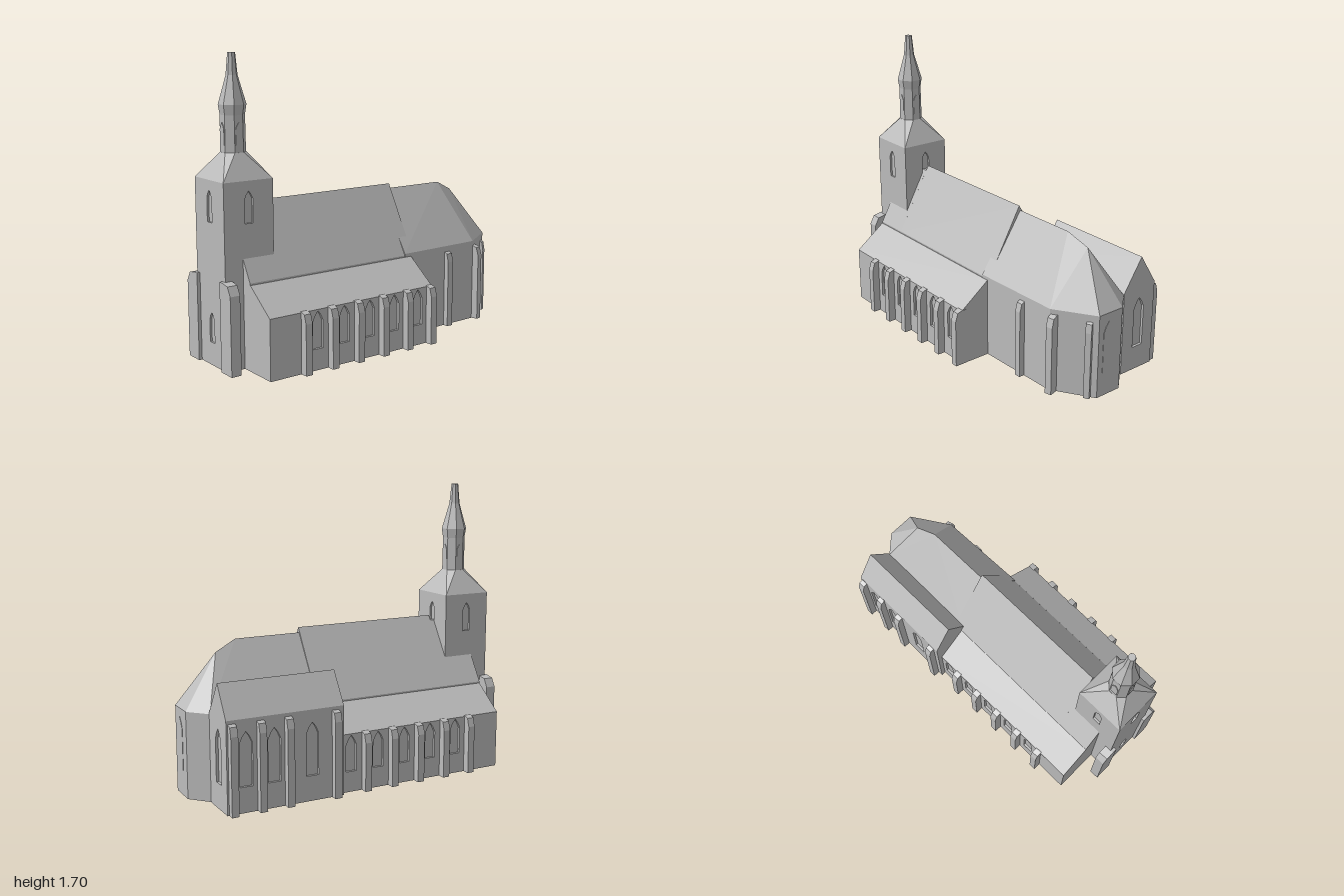
import * as THREE from 'three';
import { ConvexGeometry } from 'three/addons/geometries/ConvexGeometry.js';

const stone = new THREE.MeshStandardMaterial({ color: 0xbcbcbc });
stone.name = 'grey stone';

const shapeOf = (pts) => new THREE.Shape(pts.map(([x, y]) => new THREE.Vector2(x, y)));
const extrude = (shape, depth) => new THREE.ExtrudeGeometry(shape, { depth, bevelEnabled: false });
const V = (x, y, z) => new THREE.Vector3(x, y, z);

function add(parent, name, geometry, x = 0, y = 0, z = 0, turn = 0) {
  const mesh = new THREE.Mesh(geometry, stone);
  mesh.name = name;
  mesh.position.set(x, y, z);
  mesh.rotation.y = turn;
  parent.add(mesh);
  return mesh;
}

// Prism running along x from a (z, y) cross-section
function prism(profile, x0, x1) {
  return extrude(shapeOf(profile.map(([z, y]) => [-z, y])), x1 - x0)
    .rotateY(Math.PI / 2).translate(x0, 0, 0);
}

// Pointed-arch outline
const lancet = (x, y0, y1, w) => [
  [x - w / 2, y0], [x + w / 2, y0], [x + w / 2, y1 - w * 0.85],
  [x + w * 0.27, y1 - w * 0.35], [x, y1], [x - w * 0.27, y1 - w * 0.35], [x - w / 2, y1 - w * 0.85],
];

// Wall skin with window openings; the solid body behind closes each niche
function wall(outline, windows, depth) {
  const shape = shapeOf(outline);
  for (const w of windows) shape.holes.push(new THREE.Path(shapeOf(lancet(...w)).getPoints()));
  return extrude(shape, depth);
}
const rect = (x0, x1, h) => [[x0, 0], [x1, 0], [x1, h], [x0, h]];

// Buttress with a sloped cap, facing +z before turning
function buttress(w, d, h) {
  const s = shapeOf([[-0.03, 0], [d, 0], [d, h - 0.06], [d * 0.65, h - 0.01], [0, h], [-0.03, h]]);
  return extrude(s, w).translate(0, 0, -w / 2).rotateY(-Math.PI / 2);
}

function buildTower() {
  const g = new THREE.Group();
  g.name = 'tower';
  const cx = -0.828, cz = 0.022, half = 0.153, t = 0.012, top = 1.03;
  g.position.set(cx, 0, cz);
  add(g, 'towerCore', new THREE.BoxGeometry(2 * (half - t), top, 2 * (half - t)), 0, top / 2, 0);
  for (let i = 0; i < 4; i++) {
    const a = i * Math.PI / 2;
    const windows = [[0, 0.8, 0.975, 0.05]];
    if (i === 3) windows.push([0, 0.13, 0.3, 0.05]);
    add(g, 'towerWall', wall(rect(-half, half, top), windows, t),
      Math.sin(a) * (half - t), 0, Math.cos(a) * (half - t), a);
    // Lantern windows
    add(g, 'lanternWindow', extrude(shapeOf(lancet(0, 1.21, 1.33, 0.042)), 0.004),
      Math.sin(a) * 0.063, 0, Math.cos(a) * 0.063, a);
  }

  // Roof blending from the square tower to the octagonal lantern
  const pts = [];
  for (const x of [-half, half]) for (const z of [-half, half]) pts.push(V(x, top, z));
  for (let i = 0; i < 8; i++) {
    const a = (i + 0.5) * Math.PI / 4;
    pts.push(V(0.071 * Math.sin(a), 1.17, 0.071 * Math.cos(a)));
  }
  add(g, 'towerRoof', new ConvexGeometry(pts));

  // Lantern and spire
  const profile = [[0.07, 1.16], [0.068, 1.37], [0.077, 1.425], [0.052, 1.51], [0.032, 1.58], [0.021, 1.7], [0, 1.7]]
    .map(([r, y]) => new THREE.Vector2(r, y));
  const spire = new THREE.LatheGeometry(profile, 8, Math.PI / 8).toNonIndexed();
  spire.computeVertexNormals();
  add(g, 'spire', spire);

  // Corner buttresses beside the west face
  add(g, 'towerButtress', buttress(0.06, 0.08, 0.5), -0.97 - cx, 0, half);
  add(g, 'towerButtress', buttress(0.06, 0.08, 0.5), -0.97 - cx, 0, -half, Math.PI);
  return g;
}

function buildNave() {
  const g = new THREE.Group();
  g.name = 'nave';
  const low = [[0.242, 0], [0.242, 0.49]], far = [[-0.228, 0.49], [-0.228, 0]];
  add(g, 'naveBody', prism([...low, [0.02, 0.89], ...far], -0.65, 0.258));
  add(g, 'naveWestEnd', prism([...low, [0.037, 0.86], [0.002, 0.86], ...far], -0.87, -0.65));
  return g;
}

// Lean-to aisle; side is +1 for the front, -1 for the back
function buildAisle(side, x1, face, inner, xs) {
  const g = new THREE.Group();
  g.name = side > 0 ? 'frontAisle' : 'backAisle';
  const x0 = -0.87, h = 0.34, t = 0.015;
  const turn = side > 0 ? 0 : Math.PI;
  const body = [[inner - 0.05, 0], [inner - 0.05, 0.48], [inner, 0.48], [face, h], [face - t, h], [face - t, 0]];
  add(g, 'aisleBody', prism(body.map(([z, y]) => [z * side, y]), x0, x1));
  const windows = [-0.565, -0.387, -0.21, -0.034, 0.142].map((x) => [x * side, 0.12, 0.332, 0.066]);
  const [a, b] = side > 0 ? [x0, x1] : [-x1, -x0];
  add(g, 'aisleWall', wall(rect(a, b, h), windows, t), 0, 0, side * (face - t), turn);
  for (const x of xs) add(g, 'aisleButtress', buttress(0.042, 0.045, 0.345), x, 0, side * face, turn);
  return g;
}

function buildChoir() {
  const g = new THREE.Group();
  g.name = 'choir';
  // Walls of the polygonal apse with a hipped roof
  const plan = [[0.2, 0.245], [0.77, 0.228], [1, 0.08], [1, -0.09], [0.9, -0.2], [0.2, -0.22]];
  const pts = plan.flatMap(([x, z]) => [V(x, 0, z), V(x, 0.5, z)]);
  pts.push(V(0.2, 0.86, 0.012), V(0.66, 0.86, 0.01), V(0.79, 0.8, -0.018));
  add(g, 'choirBody', new ConvexGeometry(pts));
  add(g, 'apseWindow', extrude(shapeOf(lancet(0, 0.145, 0.45, 0.075)), 0.004), 0.998, 0, 0.008, Math.PI / 2);
  add(g, 'choirButtress', buttress(0.04, 0.035, 0.465), 0.547, 0, 0.233);
  add(g, 'choirButtress', buttress(0.04, 0.04, 0.47), 0.792, 0, 0.222, 0.25);
  add(g, 'choirButtress', buttress(0.035, 0.025, 0.46), 0.955, 0, 0.106, 0.5);
  return g;
}

function buildChapel() {
  const g = new THREE.Group();
  g.name = 'chapel';
  const t = 0.015, x0 = 0.205, x1 = 0.89, face = -0.44, eave = 0.52;
  const gable = [[-0.2, 0], [-0.2, 0.51], [-0.325, 0.7], [face, eave]];
  add(g, 'chapelBody', prism([...gable, [face + t, eave], [face + t, 0]], x0, x1));
  // Long wall with three windows
  const windows = [0.4, 0.628, 0.793].map((x) => [-x, 0.145, 0.45, 0.075]);
  add(g, 'chapelWall', wall(rect(-x1, -x0, eave), windows, t), 0, 0, face + t, Math.PI);
  // East gable
  const outline = [...gable, [face, 0]].map(([z, y]) => [-z, y]);
  add(g, 'chapelGable', wall(outline, [[0.323, 0.145, 0.45, 0.075]], t), x1, 0, 0, Math.PI / 2);
  for (const x of [0.257, 0.546, 0.709, 0.874]) {
    add(g, 'chapelButtress', buttress(0.042, 0.04, 0.5), x, 0, face, Math.PI);
  }
  return g;
}

export function createModel() {
  const church = new THREE.Group();
  church.name = 'church';
  const xs = [-0.653, -0.477, -0.3, -0.124, 0.052];
  church.add(
    buildTower(),
    buildNave(),
    buildAisle(1, 0.247, 0.432, 0.245, [...xs, 0.228]),
    buildAisle(-1, 0.21, 0.412, 0.228, xs),
    buildChoir(),
    buildChapel(),
  );
  return church;
}
